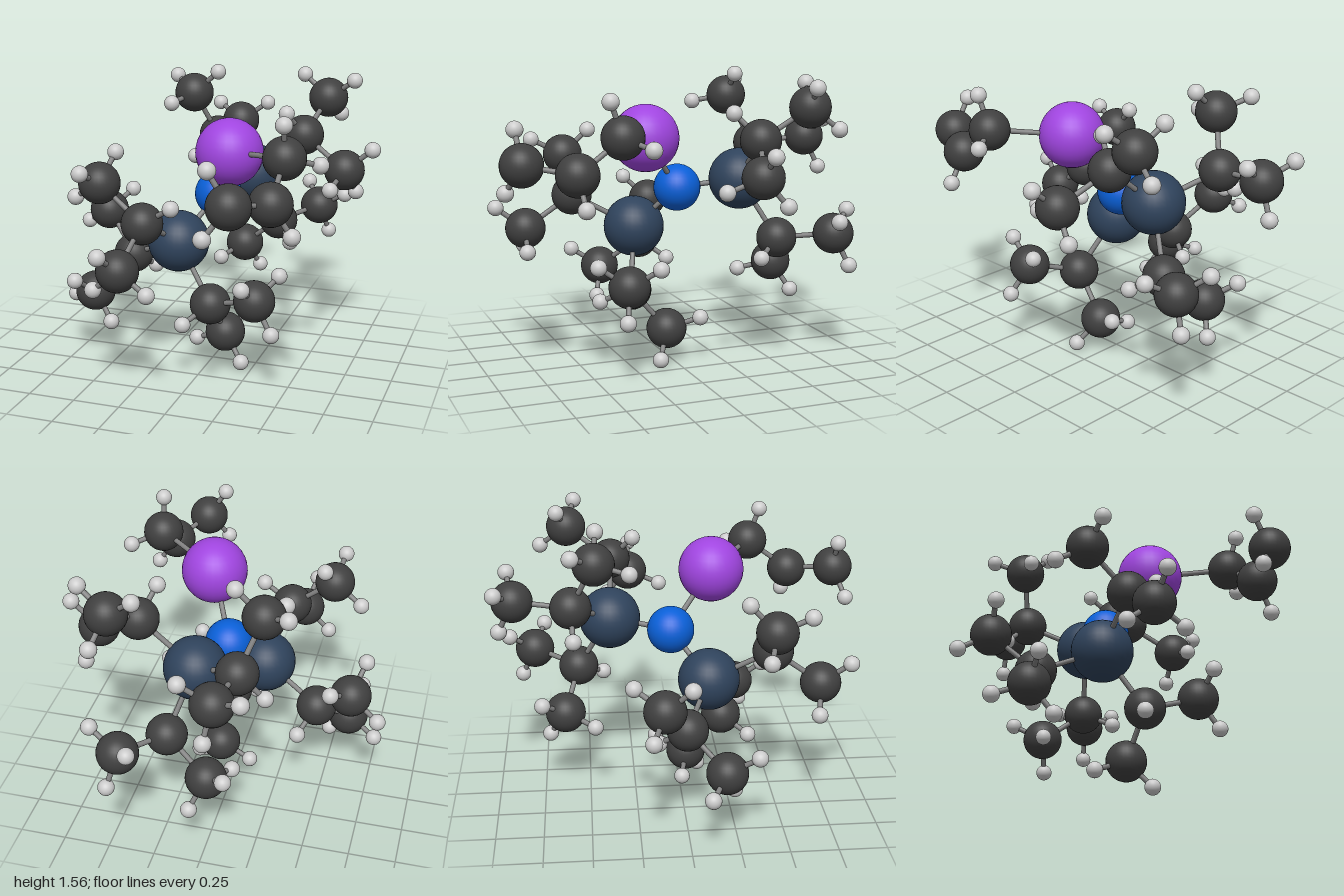
import * as THREE from 'three';

const V = (x, y, z) => new THREE.Vector3(x, y, z);

// Atom kinds: radius and colour
const KINDS = {
  carbon: [0.108, 0x404040],
  hydrogen: [0.043, 0xcccccc],
  silicon: [0.164, 0x2f435c],
  nitrogen: [0.126, 0x0a60d8],
  potassium: [0.175, 0xa045e0],
};
const CH = 0.193; // carbon to hydrogen distance

// Each silicon carries three branches: [inner carbon, methyl, methyl]
const ARMS = [
  {
    silicon: V(-0.144, 0.717, 0.14),
    branches: [
      [V(-0.46, 0.573, 0), V(-0.657, 0.77, -0.128), V(-0.613, 0.398, 0.188)],
      [V(-0.22, 0.898, 0.467), V(-0.457, 1.087, 0.447), V(-0.253, 0.725, 0.718)],
      [V(0.063, 0.416, 0.23), V(0.085, 0.189, 0.037), V(0.335, 0.5, 0.333)],
    ],
  },
  {
    silicon: V(0.108, 0.987, -0.372),
    branches: [
      [V(0.404, 1.227, -0.356), V(0.655, 1.075, -0.252), V(0.48, 1.394, -0.595)],
      [V(0.217, 0.671, -0.547), V(0.397, 0.71, -0.792), V(-0.008, 0.49, -0.624)],
      [V(-0.16, 1.142, -0.576), V(-0.115, 1.17, -0.875), V(-0.262, 1.403, -0.455)],
    ],
  },
];

export function createModel() {
  const model = new THREE.Group();
  const materials = {}, spheres = {};
  for (const [kind, [radius, color]] of Object.entries(KINDS)) {
    materials[kind] = new THREE.MeshStandardMaterial({ color });
    spheres[kind] = new THREE.SphereGeometry(radius, 32, 18);
  }
  const bondMaterial = new THREE.MeshStandardMaterial({ color: 0x808080 });
  const stick = new THREE.CylinderGeometry(0.014, 0.014, 1, 12, 1, true);

  const atom = (parent, kind, position) => {
    const mesh = new THREE.Mesh(spheres[kind], materials[kind]);
    mesh.name = kind + 'Atom';
    mesh.position.copy(position);
    parent.add(mesh);
  };
  const bond = (parent, a, b) => {
    const mesh = new THREE.Mesh(stick, bondMaterial);
    const d = b.clone().sub(a);
    mesh.name = 'bond';
    mesh.position.copy(a).addScaledVector(d, 0.5);
    mesh.scale.y = d.length();
    mesh.quaternion.setFromUnitVectors(V(0, 1, 0), d.normalize());
    parent.add(mesh);
  };
  const hydrogen = (parent, carbon, position) => {
    atom(parent, 'hydrogen', position);
    bond(parent, carbon, position);
  };
  const dir = (from, to) => to.clone().sub(from).normalize();

  // Methyl: three hydrogens in a tetrahedral cone, staggered against the inner carbon's silicon
  const methyl = (parent, carbon, inner, silicon) => {
    atom(parent, 'carbon', carbon);
    bond(parent, inner, carbon);
    const axis = dir(inner, carbon);
    const away = dir(silicon, inner).projectOnPlane(axis).normalize();
    for (let i = 0; i < 3; i++) {
      const out = away.clone().applyAxisAngle(axis, (i * Math.PI * 2) / 3);
      hydrogen(parent, carbon, carbon.clone()
        .addScaledVector(axis, CH * 0.333).addScaledVector(out, CH * 0.943));
    }
  };

  // Centre: nitrogen and potassium
  const nitrogen = V(0.015, 0.943, -0.05);
  const potassium = V(0.15, 1.233, 0.178);
  const core = new THREE.Group();
  core.name = 'core';
  model.add(core);
  atom(core, 'nitrogen', nitrogen);
  atom(core, 'potassium', potassium);
  bond(core, nitrogen, potassium);

  // Two silicon arms with branched carbon groups
  for (const { silicon, branches } of ARMS) {
    const arm = new THREE.Group();
    arm.name = 'siliconArm';
    model.add(arm);
    atom(arm, 'silicon', silicon);
    bond(arm, nitrogen, silicon);
    for (const [inner, m1, m2] of branches) {
      const branch = new THREE.Group();
      branch.name = 'carbonBranch';
      arm.add(branch);
      atom(branch, 'carbon', inner);
      bond(branch, silicon, inner);
      methyl(branch, m1, inner, silicon);
      methyl(branch, m2, inner, silicon);
      // Single hydrogen opposite the three neighbours
      const out = V(0, 0, 0);
      for (const n of [silicon, m1, m2]) out.sub(dir(inner, n));
      hydrogen(branch, inner, inner.clone().addScaledVector(out.normalize(), CH));
    }
  }

  // Three-carbon chain hanging from the potassium
  const chain = new THREE.Group();
  chain.name = 'carbonChain';
  model.add(chain);
  const links = [
    [V(0.505, 1.285, 0.422), V(0.517, 1.46, 0.487), V(0.66, 1.238, 0.322)],
    [V(0.503, 1.116, 0.649), V(0.605, 0.963, 0.638)],
    [V(0.373, 1.158, 0.888), V(0.272, 1.32, 0.893), V(0.265, 1.009, 0.945)],
  ];
  let previous = potassium;
  for (const [carbon, ...hydrogens] of links) {
    atom(chain, 'carbon', carbon);
    bond(chain, previous, carbon);
    for (const h of hydrogens) hydrogen(chain, carbon, h);
    previous = carbon;
  }
  return model;
}
